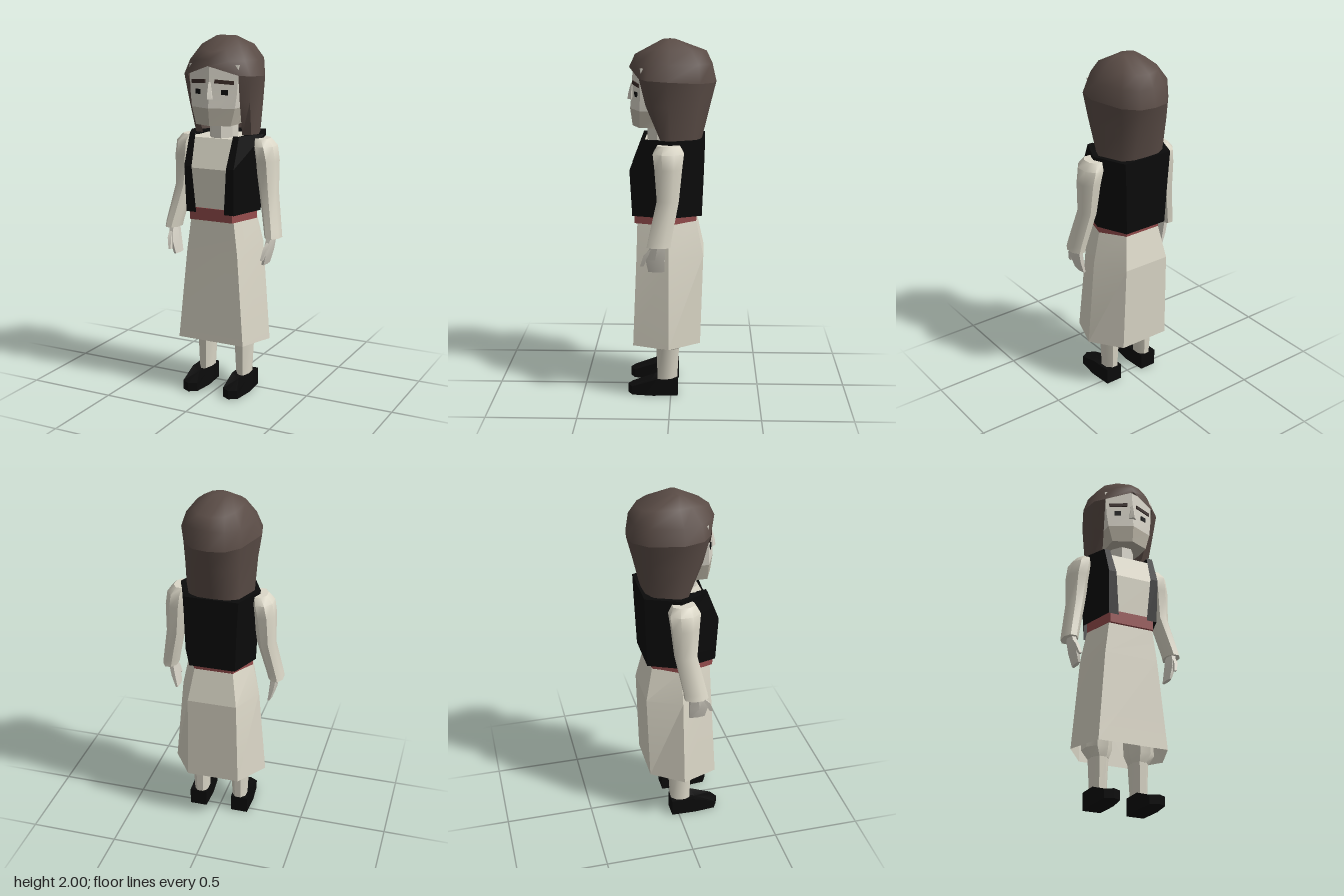
import * as THREE from 'three';
import { toCreasedNormals } from 'three/addons/utils/BufferGeometryUtils.js';

const mat = (name, color, double) => {
  const m = new THREE.MeshStandardMaterial({ color });
  m.name = name;
  if (double) m.side = THREE.DoubleSide;
  return m;
};

// Skin rows of [x, y, z] points (bottom to top, counter-clockwise seen from above)
function loft(rows, { closed = true, bottom = closed, top = closed, crease = 0.5 } = {}) {
  const n = rows[0].length, pos = rows.flat(2), idx = [];
  const cols = closed ? n : n - 1;
  for (let r = 0; r < rows.length - 1; r++) {
    for (let i = 0; i < cols; i++) {
      const a = r * n + i, b = r * n + (i + 1) % n;
      idx.push(a, b, b + n, a, b + n, a + n);
    }
  }
  const cap = (r, up) => {
    const c = pos.length / 3;
    for (let k = 0; k < 3; k++) pos.push(rows[r].reduce((s, p) => s + p[k], 0) / n);
    for (let i = 0; i < n; i++) {
      const a = r * n + i, b = r * n + (i + 1) % n;
      if (up) idx.push(a, b, c); else idx.push(b, a, c);
    }
  };
  if (bottom) cap(0, false);
  if (top) cap(rows.length - 1, true);
  const g = new THREE.BufferGeometry();
  g.setAttribute('position', new THREE.Float32BufferAttribute(pos, 3));
  g.setIndex(idx);
  return toCreasedNormals(g, crease);
}

// Complete a half outline (front to back on +x) with its mirror image
const mirror = half => [
  ...half,
  ...half.filter((p, i) => i < half.length - 1 || p[0] > 0).reverse()
    .filter(p => p[0] > 0).map(([x, y, z]) => [-x, y, z]),
];
// Same from [x, z] pairs at one height
const level = (y, half) => mirror(half.map(([x, z]) => [x, y, z]));
// Elliptical section for limbs
const oval = (x, y, z, rx, rz, n = 8) => Array.from({ length: n }, (_, i) => {
  const a = (i + 0.5) / n * Math.PI * 2;
  return [x + Math.sin(a) * rx, y, z + Math.cos(a) * rz];
});

export function createModel() {
  const model = new THREE.Group();
  model.name = 'figure';
  const cloth = mat('cream cloth', 0xdcd8c8, true);
  const skin = mat('pale skin', 0xd8d4c8);
  const jawTone = mat('jaw skin', 0xbbb5a6);
  const hairMat = mat('brown hair', 0x5a4c46, true);
  const black = mat('black cloth', 0x0b0b0b, true);
  const red = mat('red sash', 0x984e4e);
  const browMat = mat('brow brown', 0x3a2c28);
  const add = (name, geo, material, parent = model) => {
    const m = new THREE.Mesh(geo, material);
    m.name = name;
    parent.add(m);
    return m;
  };

  // Six-sided skirt, open at the hem
  add('skirt', loft([
    level(0.31, [[0.2, 0.21], [0.272, 0.01], [0.15, -0.165]]),
    level(0.82, [[0.155, 0.19], [0.225, 0.01], [0.14, -0.18]]),
    level(1.01, [[0.13, 0.185], [0.185, 0.01], [0.11, -0.14]]),
  ], { bottom: false, crease: 0.2 }), cloth);

  add('sash', loft([
    level(1.0, [[0.13, 0.2], [0.187, 0.01], [0.11, -0.138]]),
    level(1.07, [[0.13, 0.203], [0.187, 0.01], [0.11, -0.145]]),
  ], { crease: 0.2 }), red);

  add('shirt', loft([
    level(1.05, [[0.12, 0.197], [0.17, 0.01], [0.1, -0.14]]),
    level(1.29, [[0.13, 0.21], [0.18, 0.01], [0.11, -0.155]]),
    level(1.45, [[0.13, 0.145], [0.18, 0.01], [0.11, -0.155]]),
  ], { crease: 0.2 }), cloth);

  // Vest with open front, folded over the shoulders
  add('vest', loft([
    level(1.045, [[0.085, 0.212], [0.145, 0.212], [0.205, 0], [0.13, -0.17]]),
    level(1.3, [[0.105, 0.225], [0.15, 0.225], [0.215, 0], [0.14, -0.18]]),
    level(1.47, [[0.115, 0.16], [0.15, 0.16], [0.225, 0], [0.15, -0.185]]),
    level(1.46, [[0.11, 0.11], [0.12, 0.1], [0.12, 0], [0.07, -0.08]]),
  ], { closed: false, crease: 0.2 }), black);

  // Head: neck, jaw and upper face
  add('neck', loft([oval(0, 1.43, 0.04, 0.075, 0.1), oval(0, 1.56, 0.04, 0.075, 0.1)]), skin);
  const cheek = level(1.62, [[0, 0.228], [0.13, 0.17], [0.13, 0.04], [0.09, -0.1]]);
  add('jaw', loft([
    level(1.525, [[0, 0.215], [0.105, 0.17], [0.105, 0.08], [0.08, -0.06]]), cheek,
  ], { crease: 0.2 }), jawTone);
  add('face', loft([
    cheek,
    level(1.7, [[0, 0.22], [0.14, 0.165], [0.14, 0], [0.1, -0.12]]),
    level(1.85, [[0, 0.212], [0.148, 0.16], [0.148, 0], [0.1, -0.12]]),
  ], { crease: 0.2 }), skin);
  add('nose', loft([
    level(1.67, [[0, 0.242], [0.02, 0.222], [0.02, 0.2]]),
    level(1.7, [[0, 0.238], [0.017, 0.222], [0.017, 0.2]]),
    level(1.76, [[0, 0.222], [0.008, 0.215], [0.008, 0.2]]),
  ], { crease: 0.2 }), skin);

  // Hair: rounded crown, then a curtain open around the face
  const brim = [[0, 1.845, 0.232], [0.15, 1.795, 0.17], [0.2, 1.79, 0.125], [0.222, 1.785, 0.015],
    [0.155, 1.77, -0.155], [0.085, 1.77, -0.23], [0, 1.77, -0.245]];
  add('hairCrown', loft([
    mirror(brim),
    mirror([[0, 1.88, 0.215], [0.1, 1.87, 0.19], [0.165, 1.87, 0.12], [0.193, 1.87, 0.015],
      [0.15, 1.87, -0.15], [0.08, 1.87, -0.215], [0, 1.87, -0.222]]),
    mirror([[0, 1.915, 0.2], [0.07, 1.93, 0.16], [0.115, 1.95, 0.08], [0.13, 1.95, 0.01],
      [0.11, 1.945, -0.11], [0.07, 1.937, -0.17], [0, 1.935, -0.19]]),
    level(1.995, [[0, 0.05], [0.03, 0.04], [0.05, 0.03], [0.06, 0.01],
      [0.05, -0.01], [0.03, -0.02], [0, -0.025]]),
  ], { bottom: false, crease: 0.9 }), hairMat);
  add('hairCurtain', loft([
    level(1.465, [[0.12, 0.06], [0.17, 0.05], [0.192, 0], [0.14, -0.13], [0.08, -0.165], [0, -0.17]]),
    level(1.65, [[0.142, 0.135], [0.185, 0.1], [0.203, 0.01], [0.148, -0.15], [0.08, -0.205], [0, -0.215]]),
    mirror(brim.slice(1)),
  ], { closed: false, crease: 0.9 }), hairMat);

  for (const s of [1, -1]) {
    const side = s > 0 ? 'left' : 'right';

    // Eye and brow plates lying on the sloped face
    const eye = add(side + 'Eye', new THREE.BoxGeometry(0.037, 0.026, 0.008), black);
    eye.position.set(s * 0.08, 1.705, 0.19);
    eye.rotation.y = s * 0.37;
    const brow = add(side + 'Brow', new THREE.BoxGeometry(0.105, 0.02, 0.009), browMat);
    brow.position.set(s * 0.077, 1.76, 0.19);
    brow.rotation.set(0, s * 0.37, -s * 0.08);

    // Arm: sleeve, hand and thumb
    const arm = new THREE.Group();
    arm.name = side + 'Arm';
    model.add(arm);
    add('sleeve', loft([
      oval(s * 0.312, 0.915, 0.06, 0.045, 0.07),
      oval(s * 0.306, 0.95, 0.055, 0.046, 0.068),
      oval(s * 0.262, 1.16, 0.012, 0.052, 0.064),
      oval(s * 0.25, 1.33, 0.01, 0.064, 0.08),
      oval(s * 0.237, 1.41, 0.01, 0.064, 0.09),
      oval(s * 0.22, 1.45, 0.01, 0.045, 0.065),
    ], { crease: 0.8 }), cloth, arm);
    add('hand', loft([
      oval(s * 0.275, 0.765, 0.075, 0.012, 0.05, 6),
      oval(s * 0.292, 0.84, 0.08, 0.022, 0.06, 6),
      oval(s * 0.305, 0.925, 0.065, 0.024, 0.045, 6),
    ]), skin, arm);
    add('thumb', loft([
      oval(s * 0.286, 0.8, 0.153, 0.01, 0.013, 4),
      oval(s * 0.298, 0.86, 0.13, 0.015, 0.018, 4),
      oval(s * 0.305, 0.9, 0.09, 0.015, 0.025, 4),
    ]), skin, arm);

    // Leg: flared trouser, stocking and shoe
    const leg = new THREE.Group();
    leg.name = side + 'Leg';
    model.add(leg);
    add('trouser', loft([
      oval(s * 0.117, 0.27, 0.018, 0.053, 0.07),
      oval(s * 0.125, 0.32, 0.015, 0.08, 0.09),
      oval(s * 0.115, 0.6, 0.01, 0.085, 0.1),
    ]), cloth, leg);
    add('stocking', loft([
      oval(s * 0.118, 0.08, 0.02, 0.043, 0.06),
      oval(s * 0.117, 0.28, 0.018, 0.053, 0.07),
    ], { crease: 0.9 }), cloth, leg);
    const shoe = add('shoe', loft([
      [[-0.045, 0, 0.22], [0.0, 0, 0.245], [0.045, 0, 0.22], [0.06, 0, 0.1], [0.05, 0, -0.04], [-0.05, 0, -0.04], [-0.055, 0, 0.1]],
      [[-0.045, 0.05, 0.22], [0.0, 0.05, 0.245], [0.045, 0.05, 0.22], [0.057, 0.095, 0.09], [0.05, 0.098, -0.04], [-0.05, 0.098, -0.04], [-0.052, 0.095, 0.09]],
    ], { crease: 0.3 }), black, leg);
    shoe.position.x = s * 0.127;
  }
  return model;
}
